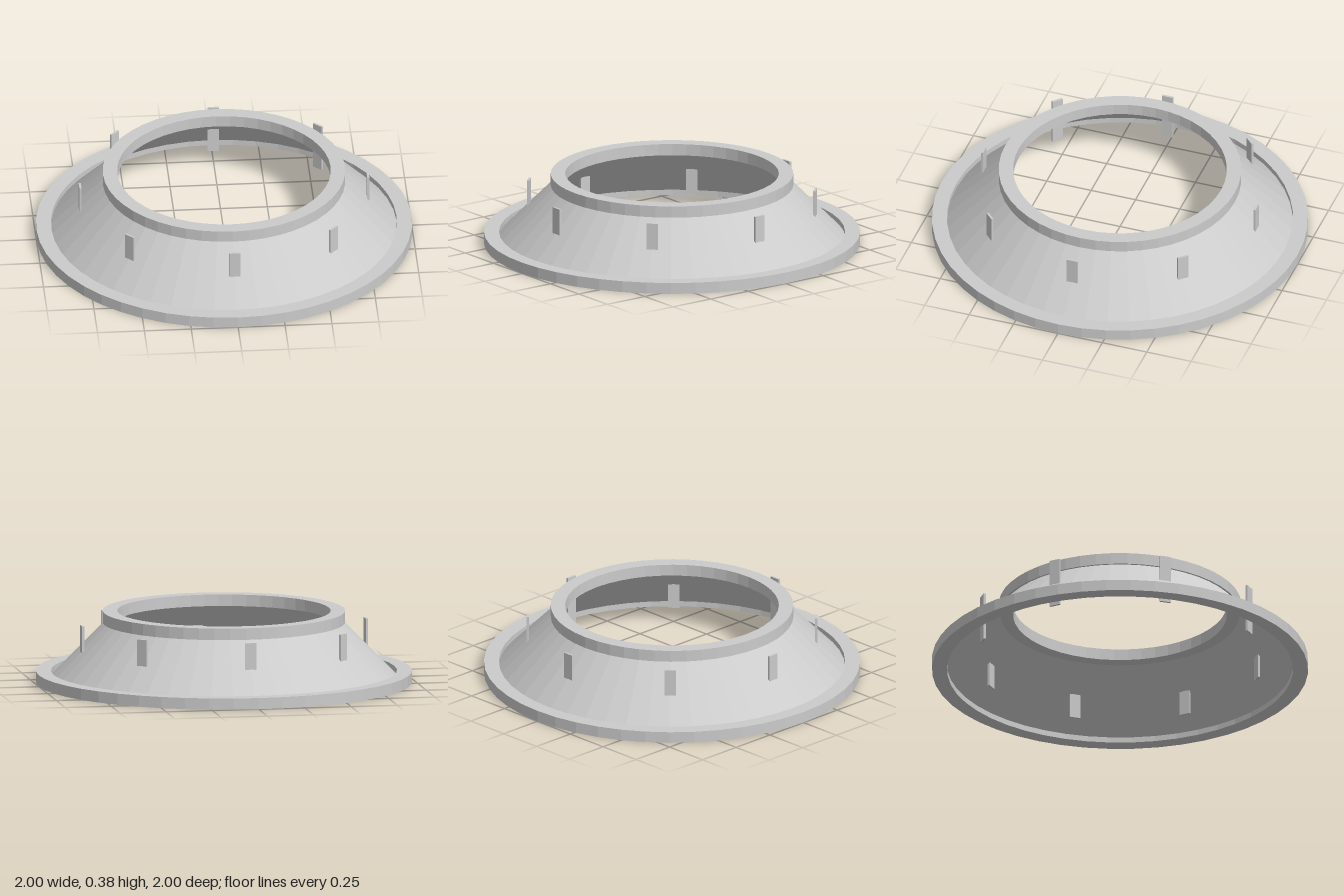
import * as THREE from 'three';

const SEGMENTS = 48;
const FIN_COUNT = 8;

export function createModel() {
  const group = new THREE.Group();
  const material = new THREE.MeshStandardMaterial({ color: 0xcccccc, flatShading: true });
  const shellMaterial = material.clone();
  shellMaterial.side = THREE.DoubleSide;

  const add = (name, geometry, mat = material) => {
    const mesh = new THREE.Mesh(geometry, mat);
    mesh.name = name;
    group.add(mesh);
    return mesh;
  };

  // Flat band with a rectangular section, wound so its faces point outward
  const ring = (inner, outer, y0, y1) => new THREE.LatheGeometry([
    [inner, y0], [outer, y0], [outer, y1], [inner, y1], [inner, y0],
  ].map(([r, y]) => new THREE.Vector2(r, y)), SEGMENTS);

  add('baseRing', ring(0.92, 1, 0, 0.06));
  add('topRing', ring(0.568, 0.645, 0.32, 0.382));

  // Thin open cone joining the middles of the two rings
  const cone = add('coneShell',
    new THREE.CylinderGeometry(0.605, 0.92, 0.32, SEGMENTS, 1, true), shellMaterial);
  cone.position.y = 0.19;

  // Upright tabs passing through the cone
  const finGeometry = new THREE.BoxGeometry(0.06, 0.265, 0.012);
  for (let i = 0; i < FIN_COUNT; i++) {
    const angle = (i / FIN_COUNT) * Math.PI * 2;
    const fin = add('fin', finGeometry);
    fin.position.set(Math.sin(angle) * 0.767, 0.1885, Math.cos(angle) * 0.767);
    fin.rotation.y = angle;
  }
  return group;
}
